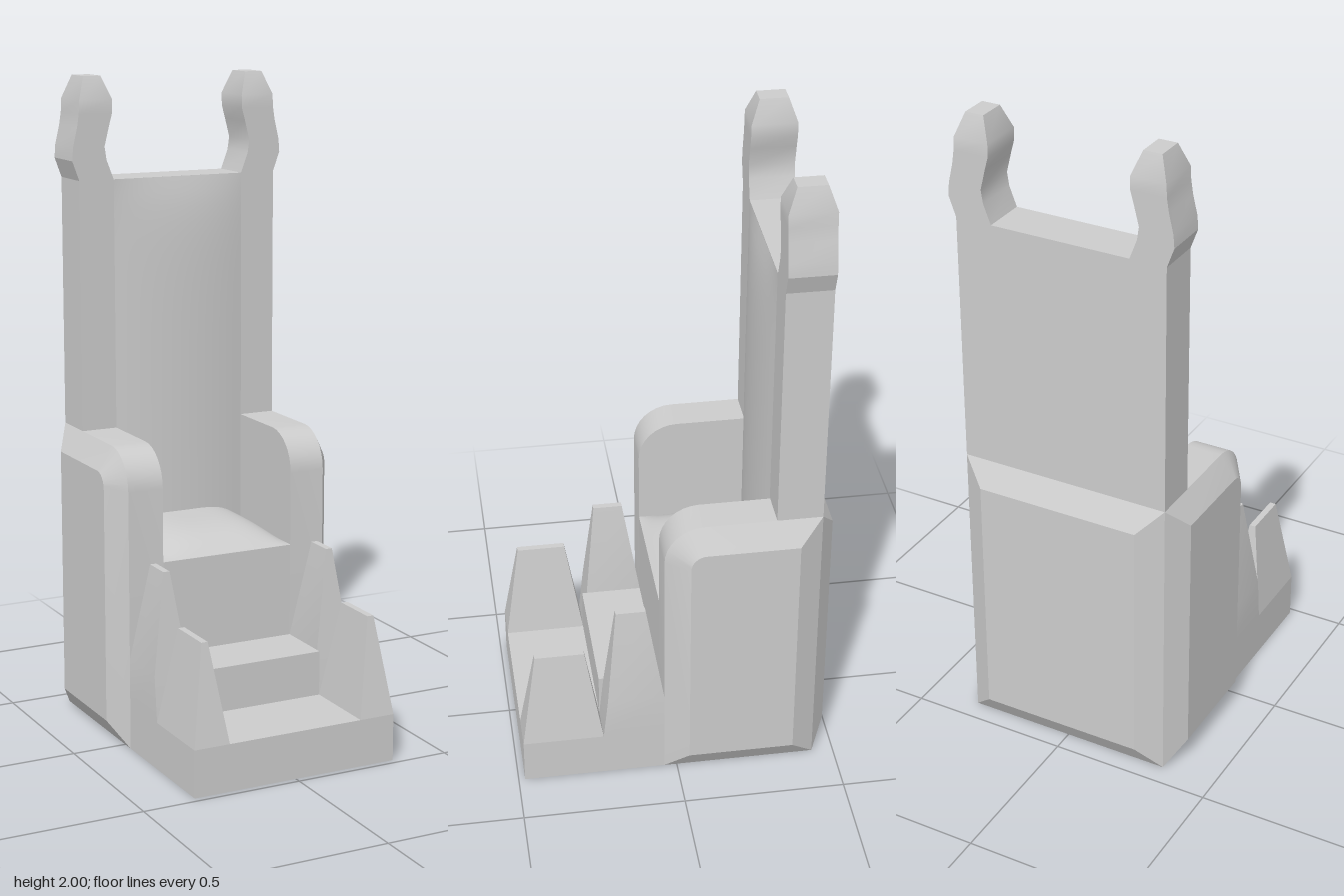
import * as THREE from 'three';
import { toCreasedNormals } from 'three/addons/utils/BufferGeometryUtils.js';

const material = new THREE.MeshStandardMaterial({ color: 0xcccccc });
const W = 0.33, INNER = 0.217;            // half widths: outside, between the arms
const FRONT = 0.04, BACK = -0.433, REST = -0.295;
const ARM = 0.92, SEAT = 0.572, TOP = 1.69;

function add(parent, name, geometry) {
  const mesh = new THREE.Mesh(geometry, material);
  mesh.name = name;
  parent.add(mesh);
  return mesh;
}

// Box given by its limits
function block(parent, name, x0, x1, y0, y1, z0, z1) {
  const g = new THREE.BoxGeometry(x1 - x0, y1 - y0, z1 - z0);
  g.translate((x0 + x1) / 2, (y0 + y1) / 2, (z0 + z1) / 2);
  return add(parent, name, g);
}

// Closed solid through convex rings of equal length; side -1 mirrors it in x
function loft(rings, side = 1) {
  const n = rings[0].length, pos = [], idx = [];
  for (const ring of rings) {
    const pts = side < 0 ? [...ring].reverse() : ring;
    for (const [x, y, z] of pts) pos.push(x * side, y, z);
  }
  const last = (rings.length - 1) * n;
  for (let r = 0; r < last; r += n) {
    for (let i = 0; i < n; i++) {
      const j = (i + 1) % n;
      idx.push(r + i, r + j, r + n + j, r + i, r + n + j, r + n + i);
    }
  }
  for (let i = 1; i < n - 1; i++) {
    idx.push(0, i + 1, i, last, last + i, last + i + 1);
  }
  const g = new THREE.BufferGeometry();
  g.setAttribute('position', new THREE.Float32BufferAttribute(pos, 3));
  g.setIndex(idx);
  return toCreasedNormals(g, 0.42);
}

// Horizontal rectangle ring
const rect = ([y, x0, x1, z0, z1]) => [[x0, y, z1], [x1, y, z1], [x1, y, z0], [x0, y, z0]];

// Arm outline with a rounded upper front corner, shrunk by inset
function armRing(x, inset) {
  const r = 0.12 - inset, cz = FRONT - 0.12, cy = ARM - 0.12;
  const ring = [
    [x, inset, FRONT - inset], [x, inset, BACK + inset], [x, ARM - inset, BACK + inset],
  ];
  for (let i = 0; i <= 8; i++) {
    const a = (Math.PI / 2) * (1 - i / 8);
    ring.push([x, cy + r * Math.sin(a), cz + r * Math.cos(a)]);
  }
  return ring;
}

// Bulging cushion; height(u, v) with u, v in -1..1
function cushion(w, h, height) {
  const g = new THREE.PlaneGeometry(w, h, 24, 24);
  const p = g.attributes.position;
  for (let i = 0; i < p.count; i++) {
    p.setZ(i, height((2 * p.getX(i)) / w, (2 * p.getY(i)) / h));
  }
  g.computeVertexNormals();
  return g;
}

export function createModel() {
  const model = new THREE.Group();

  // Seat block and tall back
  block(model, 'seatBlock', -INNER, INNER, 0, SEAT, BACK, FRONT);
  block(model, 'backrest', -W, W, SEAT, TOP, BACK, REST);

  // Cushions
  const depth = FRONT - REST;
  const seat = cushion(INNER * 2, depth,
    (u, v) => 0.063 * (1 - u ** 4) * (1 - ((1 - v) / 2) ** 4));
  seat.rotateX(-Math.PI / 2);
  seat.translate(0, SEAT + 0.001, (FRONT + REST) / 2);
  add(model, 'seatCushion', seat);

  const rest = cushion(INNER * 2, TOP - SEAT,
    (u, v) => 0.026 * (1 - u * u) * (1 - ((1 + v) / 2) ** 12));
  rest.translate(0, (TOP + SEAT) / 2, REST + 0.001);
  add(model, 'backCushion', rest);

  // Bevelled panel on the rear
  const rearRing = (z, i) => [
    [W - i, i, z], [-W + i, i, z], [-W + i, ARM - i, z], [W - i, ARM - i, z],
  ];
  add(model, 'rearPanel', loft([rearRing(BACK, 0), rearRing(-0.48, 0.073)]));

  // Steps
  block(model, 'lowerStep', -W, W, 0, 0.145, 0.23, 0.48);
  block(model, 'upperStep', -INNER, INNER, 0, 0.283, FRONT, 0.23);

  for (const side of [1, -1]) {
    const label = side > 0 ? 'left' : 'right';

    // Arm with bevelled outer panel
    add(model, label + 'Arm',
      loft([armRing(INNER, 0), armRing(W, 0), armRing(0.377, 0.073)], side));

    // Finial on the back post
    add(model, label + 'Finial', loft([
      [TOP, INNER, W, BACK, REST],
      [1.75, 0.24, 0.352, BACK, REST],
      [1.79, 0.246, 0.349, BACK, REST],
      [1.85, 0.231, 0.335, BACK, REST],
      [1.89, 0.22, 0.329, BACK, REST],
      [1.93, 0.219, 0.327, BACK, REST],
      [2.0, 0.245, 0.302, -0.408, -0.322],
    ].map(rect), side));

    // Spikes beside the steps
    add(model, label + 'LowerSpike', loft([
      [0.145, INNER, W, 0.23, 0.48],
      [0.445, 0.264, 0.284, 0.28, 0.432],
    ].map(rect), side));
    add(model, label + 'UpperSpike', loft([
      [0, INNER, W, FRONT, 0.23],
      [0.145, INNER, W, FRONT, 0.23],
      [0.283, INNER, W, FRONT, 0.215],
      [0.588, 0.264, 0.284, 0.09, 0.182],
    ].map(rect), side));
  }
  return model;
}
